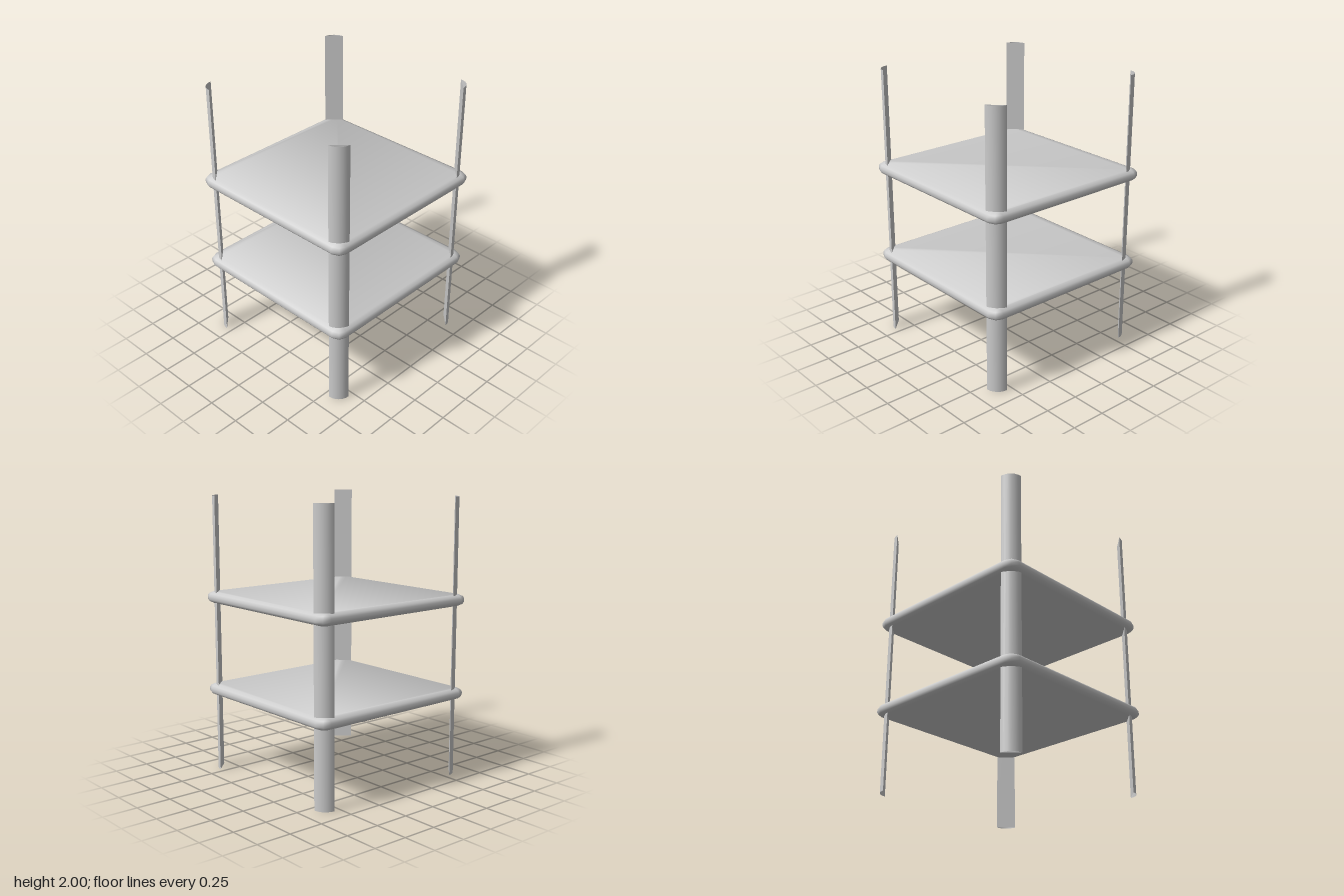
import * as THREE from 'three';

const grey = new THREE.MeshStandardMaterial({ color: 0xcccccc });
grey.name = 'grey';
grey.side = THREE.DoubleSide;

// Square shelf with rounded corners and a rounded, softly shaded rim
function shelfGeometry(half, radius) {
  // inset, height, normal outward share, normal upward share
  const rows = [
    [0.04, -0.04, 0.45, -1], [0.011, -0.028, 0.75, -0.65], [0, -0.012, 1, -0.25],
    [0, 0.012, 1, 0.25], [0.011, 0.028, 0.75, 0.65], [0.04, 0.04, 0.45, 1],
  ];
  const steps = 3, n = 4 * steps;
  const pos = [], nor = [], idx = [];
  for (const [inset, y, out, up] of rows) {
    for (let corner = 0; corner < 4; corner++) {
      for (let s = 0; s < steps; s++) {
        const a = (corner + s / (steps - 1)) * Math.PI / 2;
        const mid = (corner + 0.5) * Math.PI / 2;
        const c = (half - radius) * Math.SQRT2, r = radius - inset;
        pos.push(c * Math.cos(mid) + r * Math.cos(a), y, -c * Math.sin(mid) - r * Math.sin(a));
        const v = new THREE.Vector3(out * Math.cos(a), up, -out * Math.sin(a)).normalize();
        nor.push(v.x, v.y, v.z);
      }
    }
  }
  const last = (rows.length - 1) * n;
  for (let i = 0; i < rows.length - 1; i++) {
    for (let j = 0; j < n; j++) {
      const a = i * n + j, b = i * n + (j + 1) % n;
      idx.push(a, b, b + n, a, b + n, a + n);
    }
  }
  for (let k = 1; k < n - 1; k++) {
    idx.push(last, last + k, last + k + 1); // top face
    idx.push(0, k + 1, k); // bottom face
  }
  const g = new THREE.BufferGeometry();
  g.setAttribute('position', new THREE.Float32BufferAttribute(pos, 3));
  g.setAttribute('normal', new THREE.Float32BufferAttribute(nor, 3));
  g.setIndex(idx);
  return g;
}

export function createModel() {
  const model = new THREE.Group();
  model.name = 'shelfUnit';

  // Two shelves
  const shelfGeo = shelfGeometry(0.67, 0.075);
  [['lowerShelf', 0.597], ['upperShelf', 1.275]].forEach(([name, y]) => {
    const shelf = new THREE.Mesh(shelfGeo, grey);
    shelf.name = name;
    shelf.position.y = y;
    model.add(shelf);
  });

  // Four open-ended corner posts: curved outside, flat inside
  const r = 0.095, inner = 0.545;
  const outerGeo = new THREE.CylinderGeometry(r, r, 2, 6, 1, true, 0, Math.PI / 2);
  outerGeo.translate(inner, 1, inner);
  const innerGeo = new THREE.PlaneGeometry(r * Math.SQRT2, 2);
  innerGeo.rotateY(Math.PI * 1.25).translate(inner + r / 2, 1, inner + r / 2);
  ['frontLeftPost', 'backLeftPost', 'backRightPost', 'frontRightPost'].forEach((name, i) => {
    const post = new THREE.Group();
    post.name = name;
    const outside = new THREE.Mesh(outerGeo, grey);
    outside.name = 'postOutside';
    const inside = new THREE.Mesh(innerGeo, grey);
    inside.name = 'postInside';
    post.add(outside, inside);
    post.rotation.y = i * Math.PI / 2;
    model.add(post);
  });

  return model;
}
